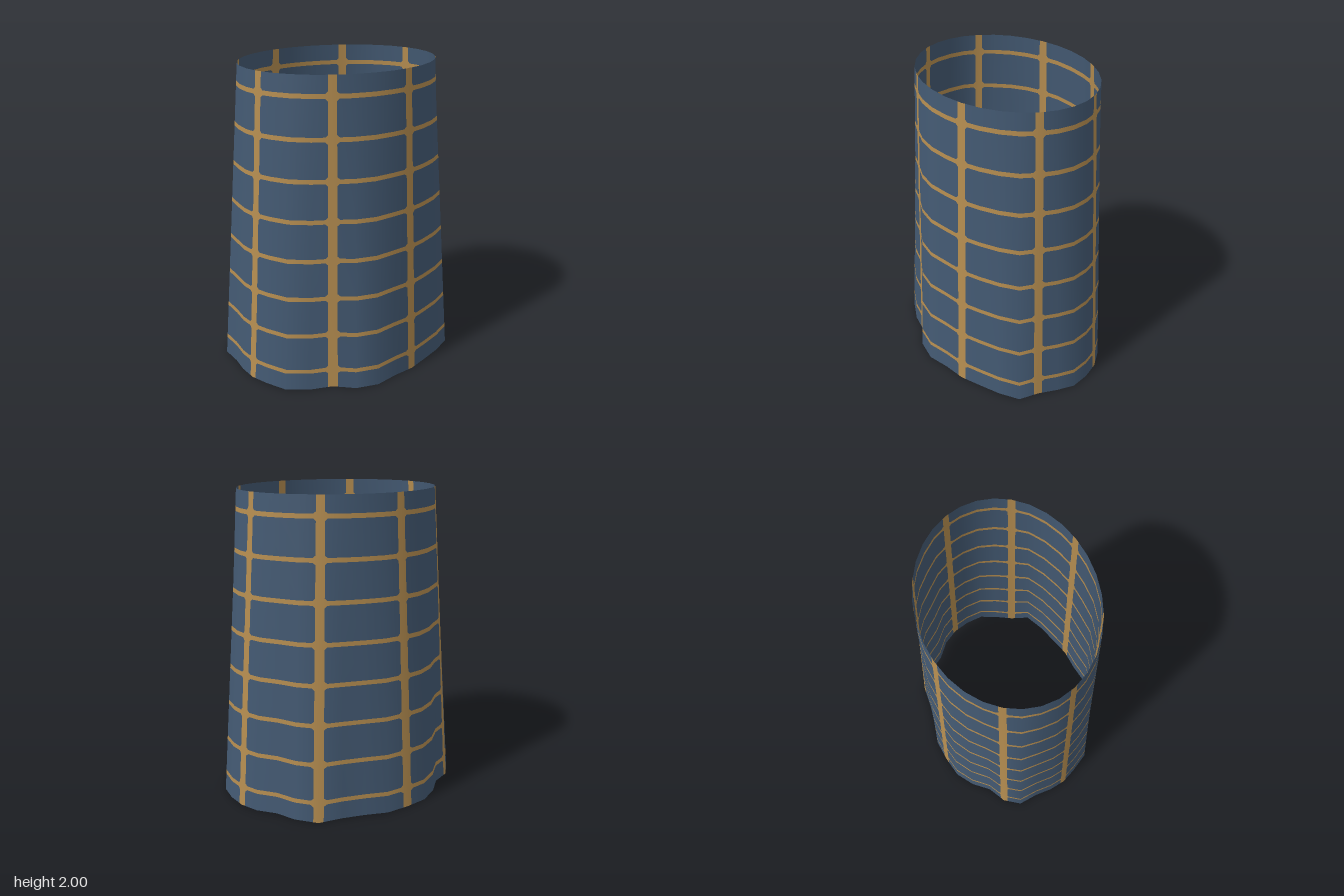
import * as THREE from 'three';

// Hem outline [x, z], 32 points starting at the front and turning towards -x
const HEM = [
  [0, 0.63], [-0.15, 0.61], [-0.28, 0.53], [-0.42, 0.505], [-0.57, 0.44], [-0.66, 0.32], [-0.72, 0.22], [-0.75, 0.105],
  [-0.76, -0.01], [-0.79, -0.145], [-0.73, -0.26], [-0.62, -0.34], [-0.545, -0.455], [-0.44, -0.55], [-0.30, -0.60], [-0.15, -0.635],
  [0, -0.62], [0.145, -0.615], [0.31, -0.625], [0.44, -0.54], [0.53, -0.435], [0.645, -0.36], [0.725, -0.26], [0.77, -0.145],
  [0.79, -0.02], [0.755, 0.095], [0.705, 0.22], [0.675, 0.35], [0.555, 0.43], [0.42, 0.495], [0.29, 0.555], [0.145, 0.585],
];
const N = HEM.length, HEIGHT = 2;
const STRIPE = 0.215, RING = 0.014;         // half widths: stripe in outline steps, ring in units
const STRIPE_FILLET = 0.12, RING_FILLET = 0.014;

// Straight-sided loft from the wavy hem up to an elliptical rim
function node(i, t) {
  const k = ((i % N) + N) % N, a = (k / N) * Math.PI * 2;
  const rim = [-0.635 * Math.sin(a), -0.016 + 0.51 * Math.cos(a)];
  return new THREE.Vector3(
    THREE.MathUtils.lerp(HEM[k][0], rim[0], t), t * HEIGHT, THREE.MathUtils.lerp(HEM[k][1], rim[1], t));
}
function surface(s, t) {
  const i = Math.floor(s);
  return node(i, t).lerp(node(i + 1, t), s - i);
}
function normalAt(s, t) {
  const around = surface(s + 1, t).sub(surface(s - 1, t));
  const up = surface(s, 1).sub(surface(s, 0));
  return up.cross(around).normalize();
}

// Sorted cut lines, including the edges of each band and its fillets
function cuts(base, centres, half, fillet) {
  const list = [...base];
  for (const c of centres) list.push(c - half - fillet, c - half, c + half, c + half + fillet);
  return list.sort((a, b) => a - b);
}
// Where a cell lies relative to the nearest band: inside, beside (fillet) or away
function locate(mid, centres, half, fillet) {
  for (const c of centres) {
    const d = mid - c;
    if (Math.abs(d) < half) return { inside: true, side: 0 };
    if (Math.abs(d) < half + fillet) return { inside: false, side: Math.sign(d) };
  }
  return { inside: false, side: 0 };
}

export function createModel() {
  const navy = new THREE.MeshStandardMaterial({ color: 0x435972, side: THREE.DoubleSide });
  navy.name = 'slate blue';
  const gold = new THREE.MeshStandardMaterial({ color: 0xb58d50, side: THREE.DoubleSide });
  gold.name = 'ochre gold';

  const stripes = Array.from({ length: 8 }, (_, k) => 2 + 4 * k);
  const rings = Array.from({ length: 8 }, (_, k) => 0.129 + 0.25 * k);
  const cols = cuts(Array.from({ length: N + 1 }, (_, i) => i), stripes, STRIPE, STRIPE_FILLET);
  const rows = cuts([0, HEIGHT], rings, RING, RING_FILLET);

  // Shared grid of points and smooth normals
  const positions = [], normals = [];
  for (const y of rows) {
    for (const s of cols) {
      positions.push(...surface(s, y / HEIGHT).toArray());
      normals.push(...normalAt(s, y / HEIGHT).toArray());
    }
  }

  // Sort each cell into plain cloth or painted lattice
  const cloth = [], lattice = [];
  const W = cols.length;
  for (let r = 0; r < rows.length - 1; r++) {
    const row = locate((rows[r] + rows[r + 1]) / 2, rings, RING, RING_FILLET);
    for (let c = 0; c < W - 1; c++) {
      const col = locate((cols[c] + cols[c + 1]) / 2, stripes, STRIPE, STRIPE_FILLET);
      const a = r * W + c;
      const q = [a, a + W, a + W + 1, a + 1];
      if (!row.inside && !col.inside && row.side && col.side) {
        // Fillet cell: the half next to the crossing is gold
        const n = col.side > 0 ? (row.side > 0 ? 0 : 1) : (row.side > 0 ? 3 : 2);
        const at = (k) => q[(n + k) % 4];
        lattice.push(at(3), at(0), at(1));
        cloth.push(at(1), at(2), at(3));
      } else {
        (row.inside || col.inside ? lattice : cloth).push(q[0], q[1], q[2], q[0], q[2], q[3]);
      }
    }
  }

  const group = new THREE.Group();
  group.name = 'taperedSleeve';
  const addPart = (name, index, material) => {
    const geometry = new THREE.BufferGeometry();
    geometry.setAttribute('position', new THREE.Float32BufferAttribute(positions, 3));
    geometry.setAttribute('normal', new THREE.Float32BufferAttribute(normals, 3));
    geometry.setIndex(index);
    const mesh = new THREE.Mesh(geometry, material);
    mesh.name = name;
    group.add(mesh);
  };
  addPart('clothPanels', cloth, navy);
  addPart('latticeBands', lattice, gold);
  return group;
}
